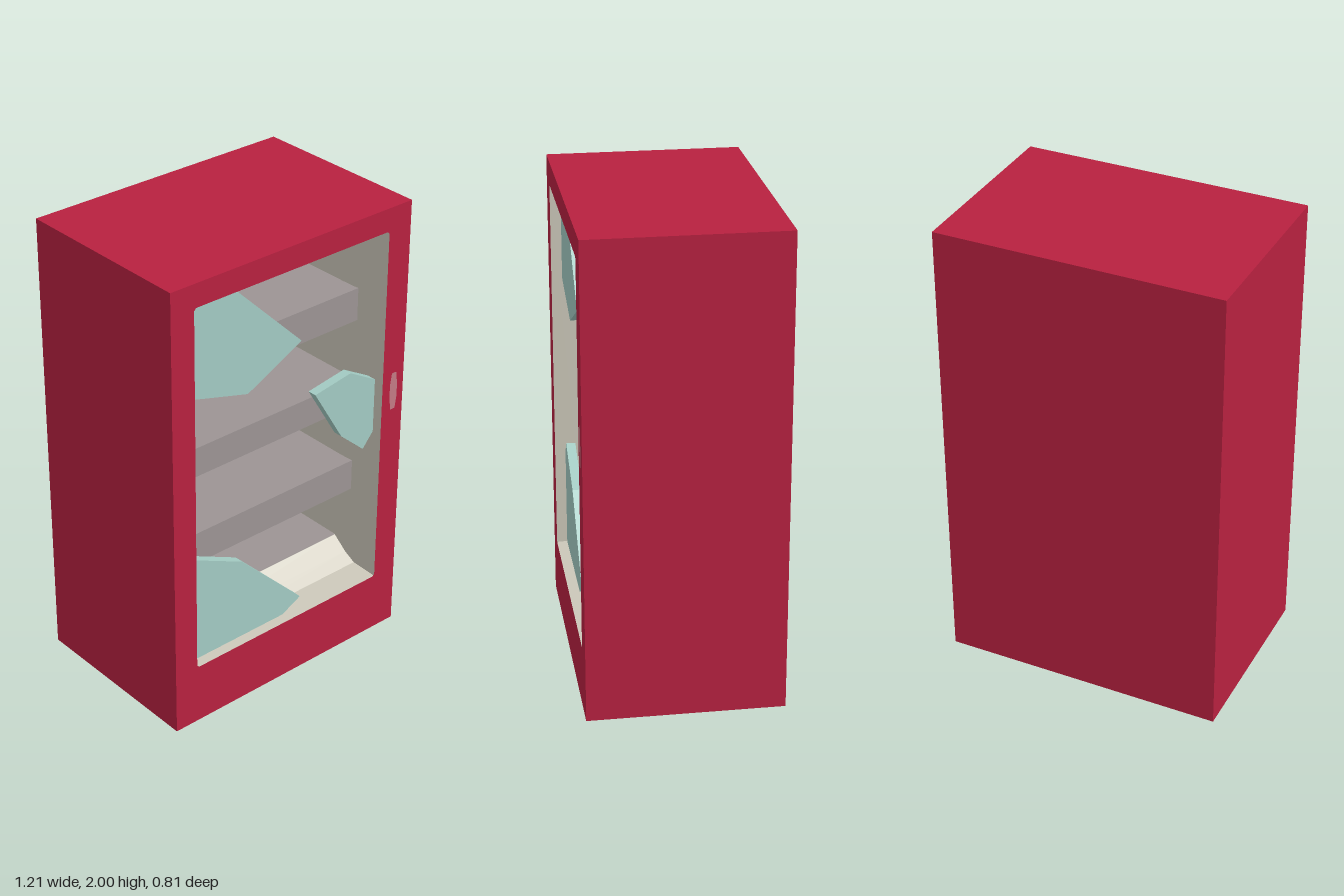
import * as THREE from 'three';

const mat = (name, color, side = THREE.FrontSide) => {
  const m = new THREE.MeshStandardMaterial({ color, side });
  m.name = name;
  return m;
};

export function createModel() {
  const group = new THREE.Group();
  const red = mat('red paint', 0xb82140);
  const cream = mat('cream lining', 0xccc8ba, THREE.DoubleSide);
  const grey = mat('grey shelf', 0x9c9494);
  const glass = mat('pale glass', 0xa3cbc3);
  const pink = mat('lock plate pink', 0xc27a84);

  const add = (name, geometry, material, x = 0, y = 0, z = 0) => {
    const mesh = new THREE.Mesh(geometry, material);
    mesh.name = name;
    mesh.position.set(x, y, z);
    group.add(mesh);
    return mesh;
  };
  const polygon = (points) => new THREE.Shape(points.map(([x, y]) => new THREE.Vector2(x, y)));

  const W = 0.605, D = 0.405;

  // Outer cabinet: a box without its front face
  const shell = new THREE.BoxGeometry(2 * W, 2, 2 * D);
  const index = Array.from(shell.index.array);
  index.splice(24, 6);
  shell.setIndex(index);
  shell.clearGroups();
  add('cabinet', shell, red, 0, 1, 0);

  // Front frame around the display opening, with tiny rounded corners
  const frame = polygon([[-W, 0], [W, 0], [W, 2], [-W, 2]]);
  const [l, r, b, t, c] = [-0.495, 0.49, 0.27, 1.9, 0.01];
  frame.holes.push(polygon([
    [l + c, b], [l, b + c], [l, t - c], [l + c, t],
    [r - c, t], [r, t - c], [r, b + c], [r - c, b],
  ]));
  add('frontFrame', new THREE.ShapeGeometry(frame), red, 0, 0, D);

  // Inner lining: rectangular rings [z, left, right, bottom, top] going back
  const rings = [
    [D, -0.495, 0.49, 0.27, 1.9],
    [0.28, -0.493, 0.488, 0.275, 1.895],
    [0.23, -0.487, 0.482, 0.31, 1.875],
    [0.165, -0.485, 0.48, 0.365, 1.87],
    [-0.24, -0.485, 0.48, 0.365, 1.87],
  ].map(([z, x0, x1, y0, y1]) => [[x0, y0, z], [x1, y0, z], [x1, y1, z], [x0, y1, z]]);
  const verts = [];
  const quad = (p, q, s, u) => verts.push(...p, ...q, ...s, ...p, ...s, ...u);
  for (let i = 0; i < rings.length - 1; i++) {
    for (let k = 0; k < 4; k++) {
      const n = (k + 1) % 4;
      quad(rings[i][k], rings[i][n], rings[i + 1][n], rings[i + 1][k]);
    }
  }
  quad(...rings[rings.length - 1]);
  const lining = new THREE.BufferGeometry();
  lining.setAttribute('position', new THREE.Float32BufferAttribute(verts, 3));
  lining.computeVertexNormals();
  add('lining', lining, cream);

  // Shelves [bottom, top, front z]; the lowest is the inner floor
  for (const [y0, y1, z1] of [[1.45, 1.595, 0.25], [1.05, 1.18, 0.25], [0.64, 0.782, 0.25], [0.35, 0.367, 0.165]]) {
    const depth = z1 + 0.24;
    add('shelf', new THREE.BoxGeometry(0.974, y1 - y0, depth), grey, -0.0025, (y0 + y1) / 2, z1 - depth / 2);
  }

  // Broken glass left in the opening
  const shards = {
    upperShard: [[-0.495, 1.9], [-0.31, 1.9], [-0.24, 1.86], [0.08, 1.545], [-0.195, 1.41], [-0.495, 1.495]],
    sideShard: [[0.16, 1.27], [0.35, 1.3], [0.49, 1.22], [0.49, 0.975], [0.435, 0.91], [0.31, 1.02]],
    lowerShard: [[-0.495, 0.27], [0, 0.27], [0.1, 0.32], [-0.22, 0.64], [-0.46, 0.755], [-0.495, 0.7]],
  };
  for (const [name, points] of Object.entries(shards)) {
    add(name, new THREE.ExtrudeGeometry(polygon(points), { depth: 0.04, bevelEnabled: false }), glass, 0, 0, 0.32);
  }

  // Small lock plate on the frame
  const plate = polygon([
    [-0.012, -0.085], [0.012, -0.085], [0.02, -0.03], [0.02, 0.03],
    [0.012, 0.085], [-0.012, 0.085], [-0.02, 0.03], [-0.02, -0.03],
  ]);
  add('lockPlate', new THREE.ShapeGeometry(plate), pink, 0.55, 1.165, D + 0.002);

  return group;
}
